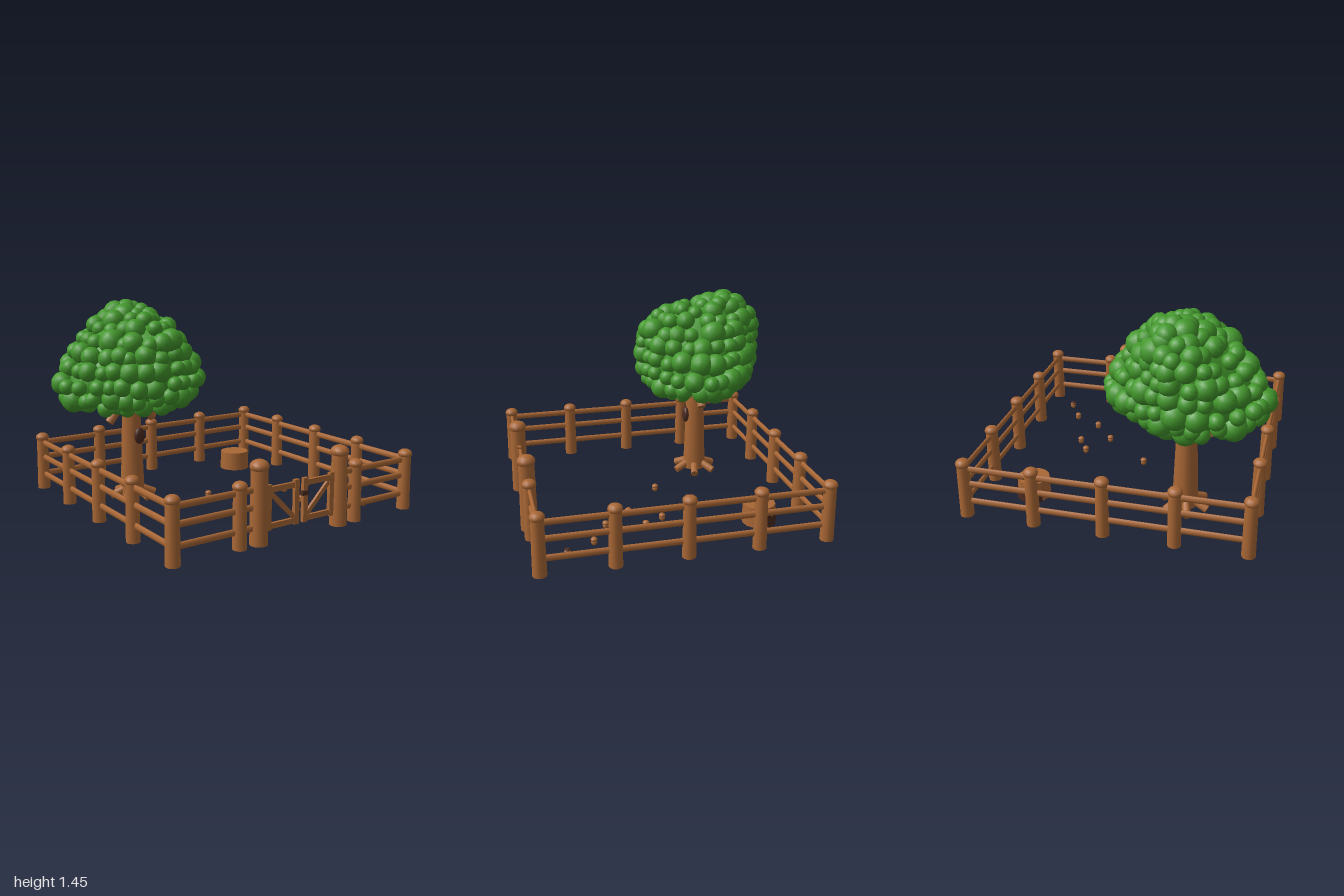
import * as THREE from 'three';

const mat = (name, color, side = THREE.FrontSide) => {
  const m = new THREE.MeshStandardMaterial({ color, side });
  m.name = name;
  return m;
};

export function createModel() {
  const root = new THREE.Group();
  root.name = 'fencedGarden';
  const wood = mat('wood brown', 0xa96735);
  const dark = mat('dark bark', 0x4a2a20, THREE.DoubleSide);
  const leaf = mat('leaf green', 0x43982c);
  const log = [wood, wood, dark]; // side, top, dark underside

  const group = (name, parent = root) => {
    const g = new THREE.Group();
    g.name = name;
    parent.add(g);
    return g;
  };
  const add = (parent, name, geo, material, x = 0, y = 0, z = 0) => {
    const m = new THREE.Mesh(geo, material);
    m.name = name;
    m.position.set(x, y, z);
    parent.add(m);
    return m;
  };
  // Tapered round bar between two points
  const bar = (parent, name, a, b, r0, r1 = r0, material = wood) => {
    const p = new THREE.Vector3(...a), q = new THREE.Vector3(...b);
    const d = q.clone().sub(p);
    const m = add(parent, name, new THREE.CylinderGeometry(r1, r0, d.length(), 10), material);
    m.position.copy(p).add(q).multiplyScalar(0.5);
    m.quaternion.setFromUnitVectors(new THREE.Vector3(0, 1, 0), d.normalize());
    return m;
  };
  let seed = 7;
  const rand = () => (seed = (seed * 16807) % 2147483647) / 2147483647;

  // ---- Fence ----
  const fence = group('fence');
  const post = (name, x, z, r, top) => {
    const g = group(name, fence);
    g.position.set(x, 0, z);
    const low = 0.035, high = top - 0.035;
    add(g, 'postShaft', new THREE.CylinderGeometry(r * 0.9, r, high - low, 12), log, 0, (low + high) / 2, 0);
    const cap = add(g, 'postCap', new THREE.SphereGeometry(r * 1.06, 12, 8), wood, 0, high, 0);
    cap.scale.y = 0.7;
  };
  const X = [-0.926, -0.457, 0.012, 0.481, 0.95];
  const Z = [-0.942, -0.474, -0.004, 0.465, 0.934];
  X.forEach((x, i) => Z.forEach((z, j) => {
    const edge = i % 4 === 0 || j % 4 === 0;
    if (edge && !(i === 2 && j === 4)) post('fencePost', x, z, 0.046, 0.46);
  }));
  const gateX = [-0.313, 0.338];
  gateX.forEach((x) => post('gatePost', x, Z[4], 0.059, 0.563));

  // Rails are slightly flattened logs
  const rail = (x0, z0, x1, z1) => [0.147, 0.277, 0.387].forEach((y) => {
    const g = group('rail', fence);
    g.position.set((x0 + x1) / 2, y, (z0 + z1) / 2);
    g.rotation.y = x0 === x1 ? Math.PI / 2 : 0;
    const len = Math.hypot(x1 - x0, z1 - z0);
    const m = add(g, 'railLog', new THREE.CylinderGeometry(0.022, 0.022, len, 10), wood);
    m.rotation.z = Math.PI / 2;
    m.scale.z = 0.62;
  });
  rail(X[0], Z[0], X[4], Z[0]);
  rail(X[0], Z[0], X[0], Z[4]);
  rail(X[4], Z[0], X[4], Z[4]);
  rail(X[0], Z[4], gateX[0], Z[4]);
  rail(gateX[1], Z[4], X[4], Z[4]);

  // ---- Double gate ----
  const gate = group('gate');
  gate.position.set(0.012, 0, Z[4]);
  for (const s of [-1, 1]) {
    const g = group(s < 0 ? 'rightGateLeaf' : 'leftGateLeaf', gate);
    for (const x of [0.035, 0.255]) {
      add(g, 'stile', new THREE.BoxGeometry(0.036, 0.29, 0.026), wood, s * x, 0.255, 0);
    }
    for (const y of [0.135, 0.368]) {
      add(g, 'crossbar', new THREE.BoxGeometry(0.22, 0.036, 0.02), wood, s * 0.145, y, 0);
    }
    const brace = add(g, 'brace', new THREE.BoxGeometry(0.29, 0.03, 0.018), wood, s * 0.145, 0.252, 0);
    brace.rotation.z = s * 0.79;
    // Hinges to the gate post
    for (const y of [0.16, 0.35]) {
      add(g, 'hinge', new THREE.BoxGeometry(0.03, 0.02, 0.012), wood, s * 0.28, y, 0);
    }
  }
  add(gate, 'latch', new THREE.BoxGeometry(0.052, 0.028, 0.026), dark, 0.018, 0.308, 0.02);

  // ---- Tree ----
  const tree = group('tree');
  const tx = -0.433, tz = -0.45;
  bar(tree, 'trunk', [tx, 0.03, tz], [tx, 0.8, tz], 0.09, 0.062, log);
  for (let i = 0; i < 6; i++) {
    const a = (i + 0.25) * Math.PI / 3, c = Math.cos(a), s = Math.sin(a);
    bar(tree, 'rootStub', [tx + 0.03 * c, 0.085, tz + 0.03 * s], [tx + 0.165 * c, 0.026, tz + 0.165 * s], 0.028);
  }
  for (const s of [-1, 1]) {
    bar(tree, 'branchStub', [tx + s * 0.03, 0.77, tz], [tx + s * 0.18, 0.585, tz], 0.032);
  }
  const knot = add(tree, 'trunkHollow', new THREE.SphereGeometry(1, 14, 10), dark, -0.412, 0.478, -0.368);
  knot.scale.set(0.042, 0.06, 0.025);

  // Crown outline: height, centre x, centre z, half width, half depth
  const rings = [
    [0.72, -0.435, -0.45, 0.12, 0.14],
    [0.725, -0.435, -0.45, 0.32, 0.29],
    [0.79, -0.435, -0.45, 0.46, 0.37],
    [0.88, -0.435, -0.45, 0.51, 0.41],
    [0.99, -0.435, -0.45, 0.45, 0.42],
    [1.09, -0.435, -0.455, 0.38, 0.42],
    [1.18, -0.42, -0.465, 0.31, 0.415],
    [1.26, -0.40, -0.50, 0.23, 0.35],
    [1.31, -0.39, -0.54, 0.15, 0.24],
    [1.35, -0.36, -0.60, 0.09, 0.13],
    [1.375, -0.34, -0.63, 0.03, 0.03],
  ];
  // Outline point; the crown is narrower across one diagonal
  const crownPoint = ([y, cx, cz, rx, rz], a, k) => {
    const f = k * (1 - 0.13 * Math.max(0, -Math.sin(2 * a)));
    return [cx + rx * f * Math.cos(a), y, cz + rz * f * Math.sin(a)];
  };
  const crown = group('crown', tree);
  // Solid core lofted through the rings
  const N = 20, pos = [], idx = [];
  rings.forEach((ring, r) => {
    for (let i = 0; i < N; i++) {
      pos.push(...crownPoint(ring, i / N * Math.PI * 2, 0.96));
      if (r < rings.length - 1) {
        const p = r * N + i, q = r * N + (i + 1) % N;
        idx.push(p, p + N, q, q, p + N, q + N);
      }
    }
  });
  for (let i = 1; i < N - 1; i++) idx.push(0, i, i + 1);
  const core = new THREE.BufferGeometry();
  core.setAttribute('position', new THREE.Float32BufferAttribute(pos, 3));
  core.setIndex(idx);
  core.computeVertexNormals();
  add(crown, 'crownCore', core, leaf);
  // Leaf clumps of mixed sizes scattered along each ring
  const ball = new THREE.SphereGeometry(1, 12, 9);
  rings.forEach((ring, r) => {
    const n = Math.max(1, Math.round(Math.PI * (ring[3] + ring[4]) / 0.11));
    for (let i = 0; i < n; i++) {
      const a = (i + (r % 2) * 0.5 + (rand() - 0.5) * 0.5) / n * Math.PI * 2;
      const size = 0.054 + rand() ** 2 * 0.04;
      // Larger clumps sit deeper so the outline stays even
      const m = add(crown, 'leafClump', ball, leaf, ...crownPoint(ring, a, 1.07 - size * 1.3 + rand() * 0.03));
      m.position.y += (rand() - 0.5) * 0.03;
      m.scale.setScalar(size);
      m.rotation.set(rand() * 3, rand() * 3, 0);
    }
  });

  // ---- Stump with dark scalloped bark low on its back ----
  const stump = group('stump');
  stump.position.set(0.603, 0, -0.6);
  add(stump, 'stumpBody', new THREE.CylinderGeometry(0.11, 0.115, 0.14, 14), log, 0, 0.107, 0);
  for (let i = 0; i < 4; i++) {
    const a = Math.PI * (0.53 + i * 0.21), h = i % 2 ? 0.075 : 0.095;
    add(stump, 'stumpBark',
      new THREE.CylinderGeometry(0.116, 0.119, h, 6, 1, true, a - 0.33, 0.66), dark, 0, 0.037 + h / 2, 0);
  }

  // ---- Acorns on the ground ----
  const acorns = group('acorns');
  const nut = new THREE.SphereGeometry(0.021, 10, 8);
  const cup = new THREE.SphereGeometry(0.023, 10, 8);
  [[-0.038, -0.03], [0.43, 0.037], [0.51, 0.17], [0.295, 0.245], [0.45, 0.435], [0.655, 0.55], [0.762, 0.738]]
    .forEach(([x, z], i) => {
      const g = group('acorn', acorns);
      g.position.set(x, 0, z);
      add(g, 'nut', nut, wood, 0, 0.052, 0).scale.y = 1.1;
      add(g, 'cup', cup, wood, 0, 0.071, 0).scale.y = 0.7;
      // One acorn has a dark top
      if (i === 6) add(g, 'darkTop', new THREE.CylinderGeometry(0.016, 0.021, 0.009, 10), dark, 0, 0.083, 0);
    });

  return root;
}
